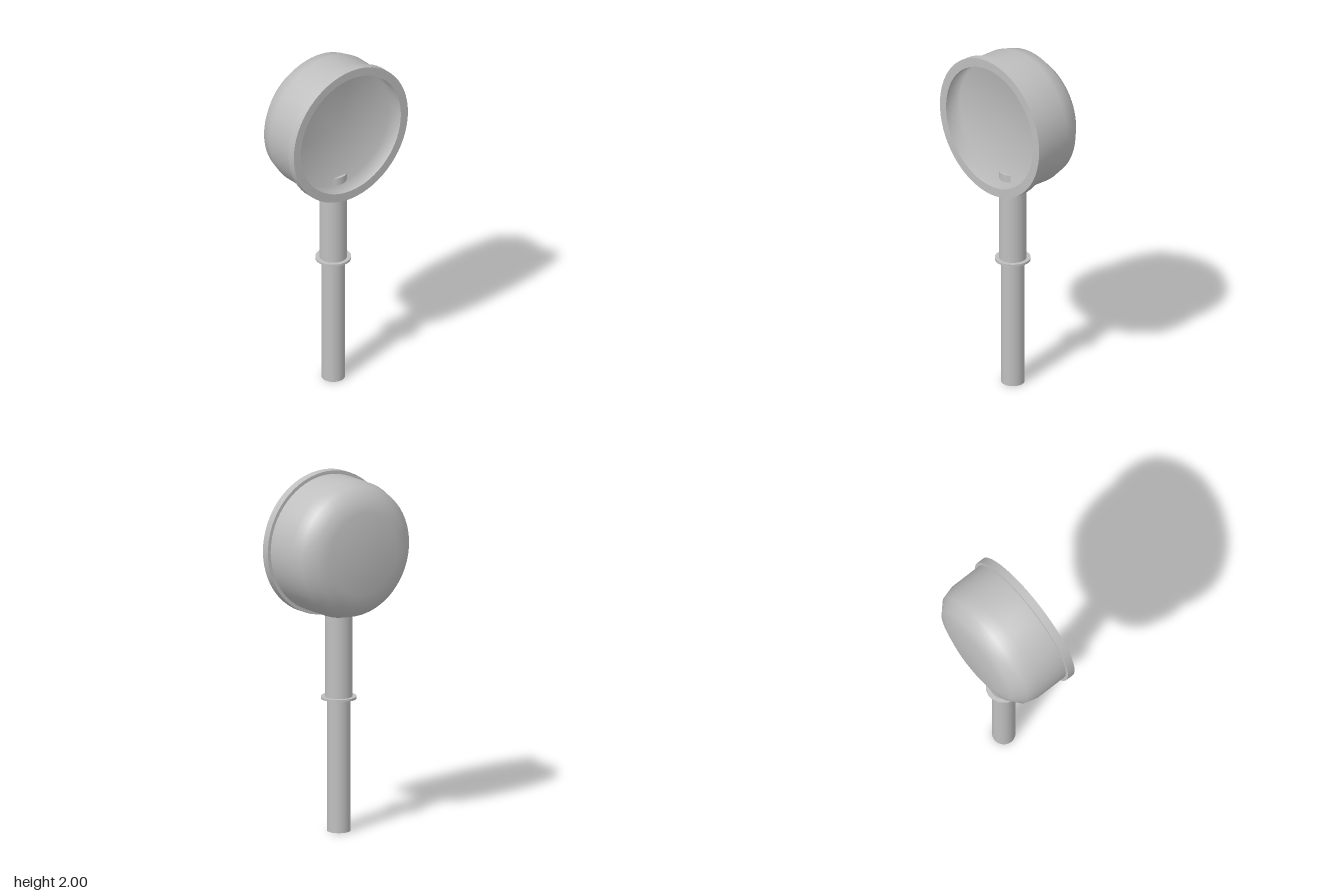
import * as THREE from 'three';
import { toCreasedNormals } from 'three/addons/utils/BufferGeometryUtils.js';

export function createModel() {
  const model = new THREE.Group();
  const grey = new THREE.MeshStandardMaterial({ color: 0xbfbfbf, side: THREE.DoubleSide });
  grey.name = 'plain grey';

  const add = (name, geometry, x, y, z) => {
    const mesh = new THREE.Mesh(geometry, grey);
    mesh.name = name;
    mesh.position.set(x, y, z);
    model.add(mesh);
    return mesh;
  };

  // Turned parts of the head, from [radius, x] points; the opening faces +x
  const turned = (points) =>
    new THREE.LatheGeometry(points.map(([r, x]) => new THREE.Vector2(r, x)), 64);
  const addHead = (name, geometry) => {
    add(name, geometry, 0, 1.598, 0).rotation.z = -Math.PI / 2;
  };

  // Housing: flat back, rounded shoulder, straight wall, stepped rim
  const housing = turned([
    [0, -0.191], [0.23, -0.191], [0.305, -0.171], [0.363, -0.115], [0.383, -0.04],
    [0.383, 0.145], [0.402, 0.145], [0.402, 0.191], [0.352, 0.191],
  ]);
  addHead('bowlHousing', toCreasedNormals(housing, 0.7));

  // Shallow recess with a flat floor, softly shaded at its corner
  addHead('recess', turned([[0.352, 0.191], [0.352, 0.087], [0, 0.087]]));

  // Stem parts share one axis; the upper stem just breaks through the recess floor
  const tube = (name, r, y0, y1, open) =>
    add(name, new THREE.CylinderGeometry(r, r, y1 - y0, 40, 1, open), 0.027, (y0 + y1) / 2, -0.009);
  tube('lowerStem', 0.064, 0, 0.75, true);
  tube('collar', 0.098, 0.746, 0.759, false);
  tube('upperStem', 0.076, 0.75, 1.29, false);

  return model;
}
